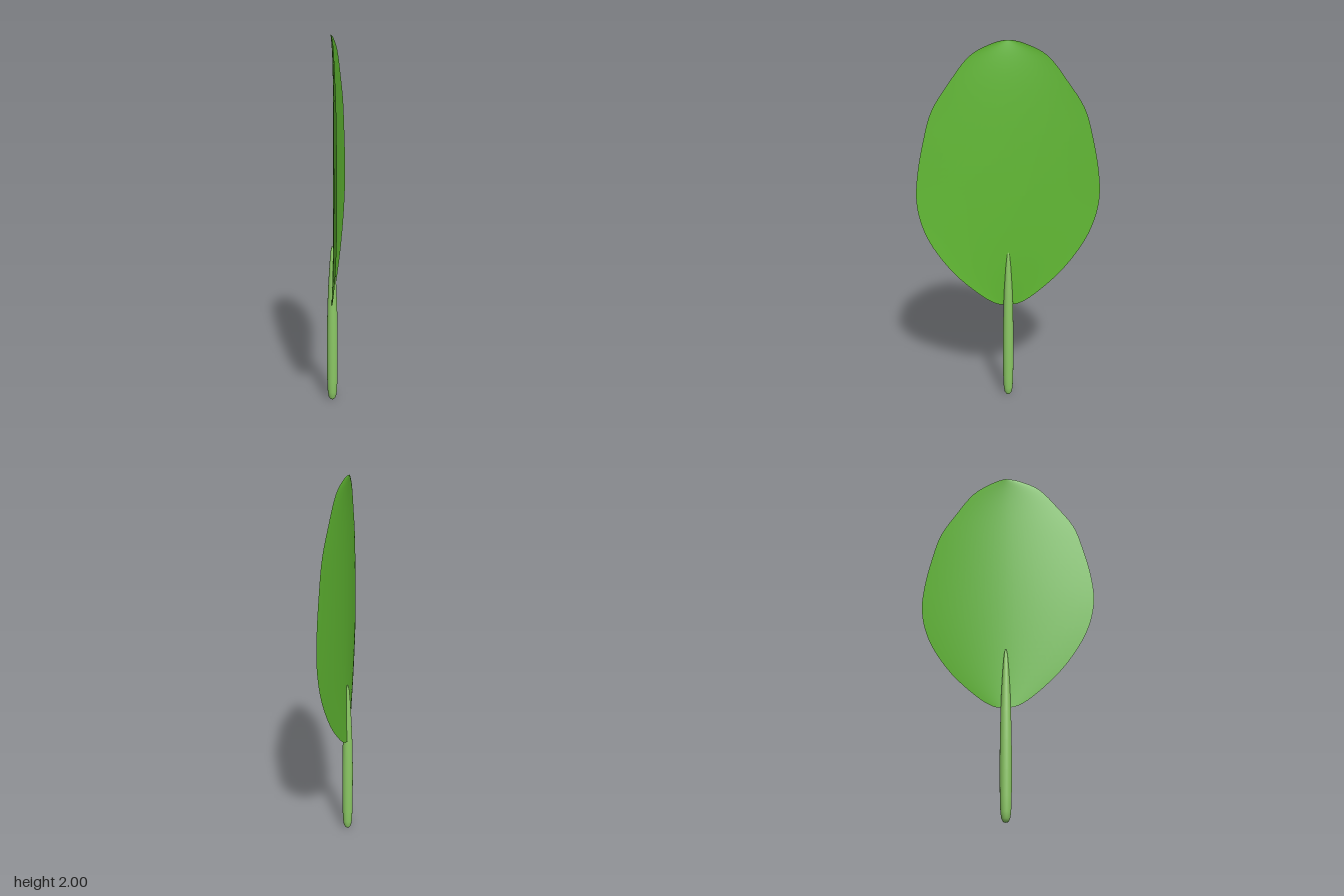
import * as THREE from 'three';

// Half outline of the blade from base to tip: [half width, height]
const OUTLINE = [
  [0, 0.57], [0.05, 0.578], [0.095, 0.60], [0.16, 0.65], [0.295, 0.785], [0.41, 0.955],
  [0.46, 1.08], [0.48, 1.2], [0.47, 1.34], [0.435, 1.51], [0.39, 1.66],
  [0.305, 1.79], [0.19, 1.93], [0.08, 1.985], [0.03, 1.998], [0, 2],
];

// Stem profile, rounded at the foot and tapering to a point: [radius, height]
const STEM = [
  [0, 0], [0.012, 0.004], [0.021, 0.018], [0.026, 0.05], [0.029, 0.12], [0.03, 0.25],
  [0.03, 0.4], [0.027, 0.55], [0.022, 0.68], [0.015, 0.8], [0.009, 0.87], [0.004, 0.895], [0, 0.9],
];

// Sideways curl of the rim, growing with distance from the midrib
const rimCurl = (w) => -0.018 + 0.058 * Math.pow(w / 0.48, 0.9);

// Midrib is nearly straight and bends back towards both ends
const midrib = (y) => {
  const t = (y - 0.57) / 1.43;
  return -0.003 - 0.011 * Math.pow(1 - t, 8) - 0.015 * Math.pow(t, 14);
};

function bladeGeometry(rows = 64, cols = 24) {
  const curve = new THREE.CatmullRomCurve3(OUTLINE.map(([w, y]) => new THREE.Vector3(w, y, 0)));
  const geometry = new THREE.PlaneGeometry(1, 1, cols, rows);
  const pos = geometry.attributes.position;
  for (let r = 0; r <= rows; r++) {
    const p = curve.getPoint(1 - r / rows);
    const w = Math.max(p.x, 0.0005);
    const mid = midrib(Math.min(p.y, 2));
    for (let c = 0; c <= cols; c++) {
      const u = 1 - (2 * c) / cols;
      pos.setXYZ(r * (cols + 1) + c, mid + (rimCurl(w) - mid) * Math.pow(Math.abs(u), 1.8), Math.min(p.y, 2), u * w);
    }
  }
  geometry.computeVertexNormals();
  return geometry;
}

export function createModel() {
  const group = new THREE.Group();
  group.name = 'leaf';

  // Thin cupped blade
  const blade = new THREE.Mesh(
    bladeGeometry(),
    new THREE.MeshStandardMaterial({ color: 0x62bb33, side: THREE.DoubleSide })
  );
  blade.name = 'blade';

  // Stem running up over the lower midrib
  const stem = new THREE.Mesh(
    new THREE.LatheGeometry(STEM.map(([r, y]) => new THREE.Vector2(r, y)), 20),
    new THREE.MeshStandardMaterial({ color: 0x8cc965 })
  );
  stem.name = 'stem';
  stem.position.x = -0.01;

  group.add(blade, stem);
  return group;
}
